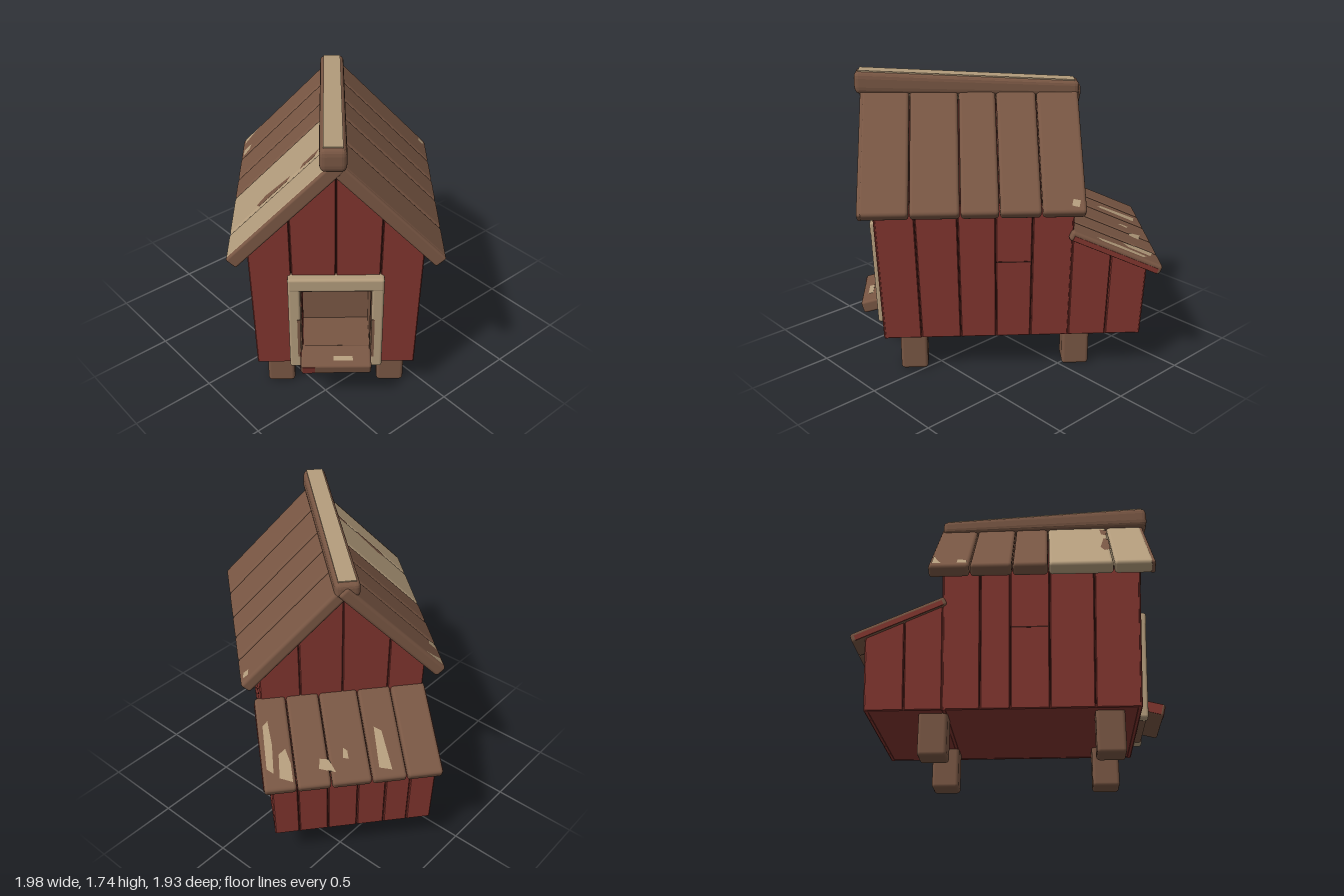
import * as THREE from 'three';
import { RoundedBoxGeometry } from 'three/addons/geometries/RoundedBoxGeometry.js';

const mat = (name, color) => {
  const m = new THREE.MeshStandardMaterial({ color });
  m.name = name;
  return m;
};

export function createModel() {
  const red = mat('barn red', 0x81352e);
  const brown = mat('wood brown', 0x785643);
  const tan = mat('worn tan', 0xb39c7c);
  const dark = mat('dark seam', 0x3c1a16);

  const coop = new THREE.Group();
  coop.name = 'henHouse';

  const add = (parent, name, geo, material, x = 0, y = 0, z = 0) => {
    const m = new THREE.Mesh(geo, material);
    m.name = name;
    m.position.set(x, y, z);
    parent.add(m);
    return m;
  };
  const rbox = (w, h, d, r = 0.015) => new RoundedBoxGeometry(w, h, d, 2, r);

  // Walls lean outward slightly toward the top
  const flare = (geo) => {
    const p = geo.attributes.position;
    for (let i = 0; i < p.count; i++) {
      const k = 1 + 0.055 * (p.getY(i) - 0.6);
      p.setX(i, p.getX(i) * k);
      p.setZ(i, p.getZ(i) * k);
    }
    geo.computeVertexNormals();
    return geo;
  };
  const polygon = (pts) => new THREE.Shape(pts.map(([x, y]) => new THREE.Vector2(x, y)));
  const FLOOR = 0.235;

  // A row of vertical planks on one wall; the wall is turned by angle about y
  const planks = (name, edges, top, angle, offset, bottom = FLOOR) => {
    for (let i = 0; i + 1 < edges.length; i++) {
      const a = edges[i] + 0.002, b = edges[i + 1] - 0.002;
      const geo = new THREE.ExtrudeGeometry(polygon([[a, bottom], [b, bottom], [b, top(b)], [a, top(a)]]), {
        depth: 0.016, bevelEnabled: true, bevelSize: 0.005, bevelThickness: 0.006, bevelOffset: -0.005, bevelSegments: 1,
      });
      geo.translate(0, 0, offset - 0.022).rotateY(angle);
      add(coop, name, flare(geo), red);
    }
  };
  const gableTop = (u) => 1.565 - 1.03 * Math.abs(u);
  const leanTop = (w) => 0.862 - 0.437 * (-0.37 - w);
  const HALF = 0.465;

  // Dark inner shell seen in the seams, with a recess for the doorway
  const gable = () => polygon([[-0.45, 0.245], [0.45, 0.245], [0.45, 1.09], [0, 1.55], [-0.45, 1.09]]);
  const rear = new THREE.ExtrudeGeometry(gable(), { depth: 0.82, bevelEnabled: false }).translate(0, 0, -0.37);
  add(coop, 'innerShell', flare(rear), dark);
  const frontShape = gable();
  frontShape.holes.push(new THREE.Path([[-0.21, 0.34], [-0.21, 0.82], [0.21, 0.82], [0.21, 0.34]].map((p) => new THREE.Vector2(...p))));
  const front = new THREE.ExtrudeGeometry(frontShape, { depth: 0.255, bevelEnabled: false }).translate(0, 0, 0.45);
  add(coop, 'innerShellFront', flare(front), dark);
  const leanShape = polygon([[-0.795, 0.245], [-0.3, 0.245], [-0.3, leanTop(-0.3)], [-0.795, leanTop(-0.795)]]);
  const leanCore = new THREE.ExtrudeGeometry(leanShape, { depth: 0.9, bevelEnabled: false }).rotateY(-Math.PI / 2).translate(0.45, 0, 0);
  add(coop, 'nestBoxShell', flare(leanCore), dark);
  add(coop, 'floor', flare(new THREE.BoxGeometry(0.91, 0.02, 1.5).translate(0, 0.247, -0.045)), red);

  // Side planks of the house and nest box
  const leftEdges = [-0.376, -0.167, 0, 0.22, 0.47, 0.72];
  const rightEdges = [-0.376, -0.15, 0.055, 0.265, 0.5, 0.72];
  const flat = () => 1.07;
  const neg = (list) => list.map((v) => -v).reverse();
  planks('rightWallPlank', leftEdges, flat, -Math.PI / 2, HALF);
  planks('leftWallPlank', neg(rightEdges), flat, Math.PI / 2, HALF);
  planks('nestBoxSidePlank', [-0.81, -0.59, -0.376], leanTop, -Math.PI / 2, HALF);
  planks('nestBoxSidePlank', [0.376, 0.6, 0.81], (a) => leanTop(-a), Math.PI / 2, HALF);
  add(coop, 'plankJoint', new THREE.BoxGeometry(0.006, 0.008, 0.22), dark, -0.466, 0.715, 0.11);
  add(coop, 'plankJoint', new THREE.BoxGeometry(0.006, 0.008, 0.205), dark, 0.466, 0.715, -0.048);

  // End planks: front gable around the door, rear gable, back of the nest box
  planks('frontPlank', [-HALF, -0.24], gableTop, 0, 0.725);
  planks('frontPlank', [0.24, HALF], gableTop, 0, 0.725);
  planks('frontPlankOverDoor', [-0.24, 0, 0.24], gableTop, 0, 0.725, 0.81);
  planks('frontPlankUnderDoor', [-0.24, 0.24], () => 0.35, 0, 0.725);
  planks('rearPlank', [-HALF, -0.24, 0, 0.26, HALF], gableTop, Math.PI, 0.38);
  planks('nestBoxBackPlank', [-HALF, -0.32, -0.15, 0.02, 0.18, 0.32, HALF], () => leanTop(-0.81), Math.PI, 0.812);

  // Doorway lining
  add(coop, 'doorwayBack', new THREE.BoxGeometry(0.42, 0.48, 0.02), brown, 0, 0.58, 0.462);
  for (const s of [-1, 1]) add(coop, 'doorwaySide', new THREE.BoxGeometry(0.03, 0.48, 0.26), brown, s * 0.207, 0.58, 0.59);
  add(coop, 'doorwayTop', new THREE.BoxGeometry(0.42, 0.03, 0.26), brown, 0, 0.812, 0.59);
  add(coop, 'doorwayFloor', new THREE.BoxGeometry(0.42, 0.04, 0.26), brown, 0, 0.35, 0.59);
  add(coop, 'doorwayRedJamb', new THREE.BoxGeometry(0.006, 0.42, 0.12), red, -0.191, 0.58, 0.65);

  // Door frame and threshold
  const frame = new THREE.Group();
  frame.name = 'doorFrame';
  frame.position.set(0, 0.565, 0.735);
  frame.rotation.x = 0.035;
  coop.add(frame);
  for (const s of [-1, 1]) {
    add(frame, 'frameStile', rbox(0.068, 0.645, 0.07), tan, s * 0.23, 0, 0);
    add(frame, 'frameInnerEdge', new THREE.BoxGeometry(0.008, 0.45, 0.05), brown, s * 0.195, 0.01, 0);
    add(frame, 'frameWornPatch', new THREE.BoxGeometry(0.018, 0.28, 0.006), brown, s * 0.207, -0.1, 0.034);
  }
  add(frame, 'frameTopRail', rbox(0.528, 0.085, 0.074), tan, 0, 0.285, 0);
  add(frame, 'frameTopEdge', new THREE.BoxGeometry(0.39, 0.008, 0.05), brown, 0, 0.242, 0);
  add(frame, 'frameBottomRail', rbox(0.46, 0.1, 0.06), brown, 0, -0.265, 0);
  const sill = add(coop, 'threshold', rbox(0.4, 0.075, 0.15), brown, 0, 0.325, 0.785);
  sill.rotation.x = 0.25;
  add(sill, 'thresholdRedEnd', new THREE.BoxGeometry(0.006, 0.06, 0.12), red, -0.199, 0, 0);
  add(sill, 'thresholdRedChip', new THREE.BoxGeometry(0.07, 0.055, 0.006), red, -0.155, 0, 0.074);
  add(sill, 'thresholdWornChip', new THREE.BoxGeometry(0.11, 0.006, 0.03), tan, 0.04, 0.036, 0.02);

  // Legs
  for (const [x, z] of [[-0.325, 0.54], [0.325, 0.54], [-0.315, -0.425], [0.315, -0.425]]) {
    add(coop, 'leg', rbox(0.16, 0.26, 0.16, 0.02), brown, x, 0.13, z);
  }

  // Thin worn-paint patch lying on a roof slope
  const patch = (parent, material, y, pts) => {
    const geo = new THREE.ShapeGeometry(polygon(pts.map(([a, b]) => [a, -b]))).rotateX(-Math.PI / 2);
    add(parent, 'wornPatch', geo, material, 0, y, 0);
  };

  // Main roof: five planks on each slope
  const roofEdges = { '-1': [-0.465, -0.227, 0.015, 0.22, 0.59, 0.815], 1: [-0.445, -0.197, 0.037, 0.254, 0.534, 0.812] };
  const slopes = {};
  for (const s of [-1, 1]) {
    const slope = (slopes[s] = new THREE.Group());
    slope.name = s < 0 ? 'rightRoofSlope' : 'leftRoofSlope';
    slope.position.y = 1.605;
    slope.rotation.z = -s * 0.8;
    coop.add(slope);
    const e = roofEdges[s];
    for (let i = 0; i < 5; i++) {
      const m = s < 0 && i > 2 ? tan : brown;
      add(slope, 'roofPlank', rbox(0.825, 0.075, e[i + 1] - e[i] - 0.006, 0.02), m, s * 0.39, 0, (e[i] + e[i + 1]) / 2);
    }
    // Brown verge boards close the gable ends
    add(slope, 'vergeBoard', rbox(0.822, 0.074, 0.03, 0.012), brown, s * 0.39, -0.002, e[5] - 0.008);
  }
  const R = slopes[-1], L = slopes[1];
  patch(R, brown, 0.039, [[-0.08, 0.545], [-0.21, 0.55], [-0.23, 0.58], [-0.12, 0.588]]);
  patch(R, brown, 0.039, [[-0.3, 0.56], [-0.5, 0.53], [-0.57, 0.55], [-0.55, 0.585], [-0.33, 0.585]]);
  patch(R, tan, 0.039, [[-0.62, -0.445], [-0.77, -0.445], [-0.77, -0.39], [-0.7, -0.42]]);
  patch(R, tan, 0.039, [[-0.7, -0.3], [-0.77, -0.3], [-0.77, -0.24], [-0.72, -0.25]]);
  patch(L, tan, 0.039, [[0.73, -0.41], [0.77, -0.4], [0.76, -0.36], [0.72, -0.37]]);

  // Ridge cap, taller at the front
  const capGeo = rbox(0.14, 0.09, 1.3, 0.028);
  const cp = capGeo.attributes.position;
  for (let i = 0; i < cp.count; i++) {
    const t = cp.getZ(i) / 1.3 + 0.5, up = cp.getY(i) / 0.09 + 0.5;
    cp.setY(i, 1.575 + 0.025 * t + up * (0.088 + 0.045 * t));
  }
  capGeo.computeVertexNormals();
  add(coop, 'ridgeCap', capGeo, brown, -0.015, 0, 0.2);
  const wear = add(coop, 'ridgeCapWornTop', new THREE.BoxGeometry(0.1, 0.008, 1.25), tan, -0.015, 1.699, 0.2);
  wear.rotation.x = -Math.atan(0.07 / 1.3);

  // Nest box roof
  const lean = new THREE.Group();
  lean.name = 'nestBoxRoof';
  lean.position.set(0, 0.885, -0.37);
  lean.rotation.x = -0.412;
  coop.add(lean);
  const le = [-0.485, -0.28, -0.085, 0.14, 0.33, 0.512];
  for (let i = 0; i < 5; i++) {
    add(lean, 'nestBoxRoofPlank', rbox(le[i + 1] - le[i] - 0.006, 0.06, 0.575, 0.018), brown, (le[i] + le[i + 1]) / 2, 0, -0.282);
  }
  for (const x of [-0.482, 0.509]) add(lean, 'nestBoxRoofRedEdge', new THREE.BoxGeometry(0.006, 0.03, 0.53), red, x, -0.008, -0.282);
  patch(lean, tan, 0.032, [[0.35, -0.53], [0.42, -0.5], [0.41, -0.36], [0.37, -0.33], [0.35, -0.42]]);
  patch(lean, tan, 0.032, [[0.45, -0.47], [0.485, -0.44], [0.48, -0.18], [0.45, -0.15], [0.44, -0.3]]);
  patch(lean, tan, 0.032, [[0.11, -0.5], [0.2, -0.47], [0.19, -0.41], [0.14, -0.42]]);
  patch(lean, tan, 0.032, [[-0.2, -0.52], [-0.13, -0.5], [-0.14, -0.25], [-0.18, -0.28]]);
  patch(lean, tan, 0.032, [[0.03, -0.43], [0.06, -0.42], [0.05, -0.36], [0.03, -0.38]]);

  // The house stands turned on its spot
  coop.rotation.y = THREE.MathUtils.degToRad(50);
  const model = new THREE.Group();
  model.name = 'model';
  model.add(coop);
  return model;
}
